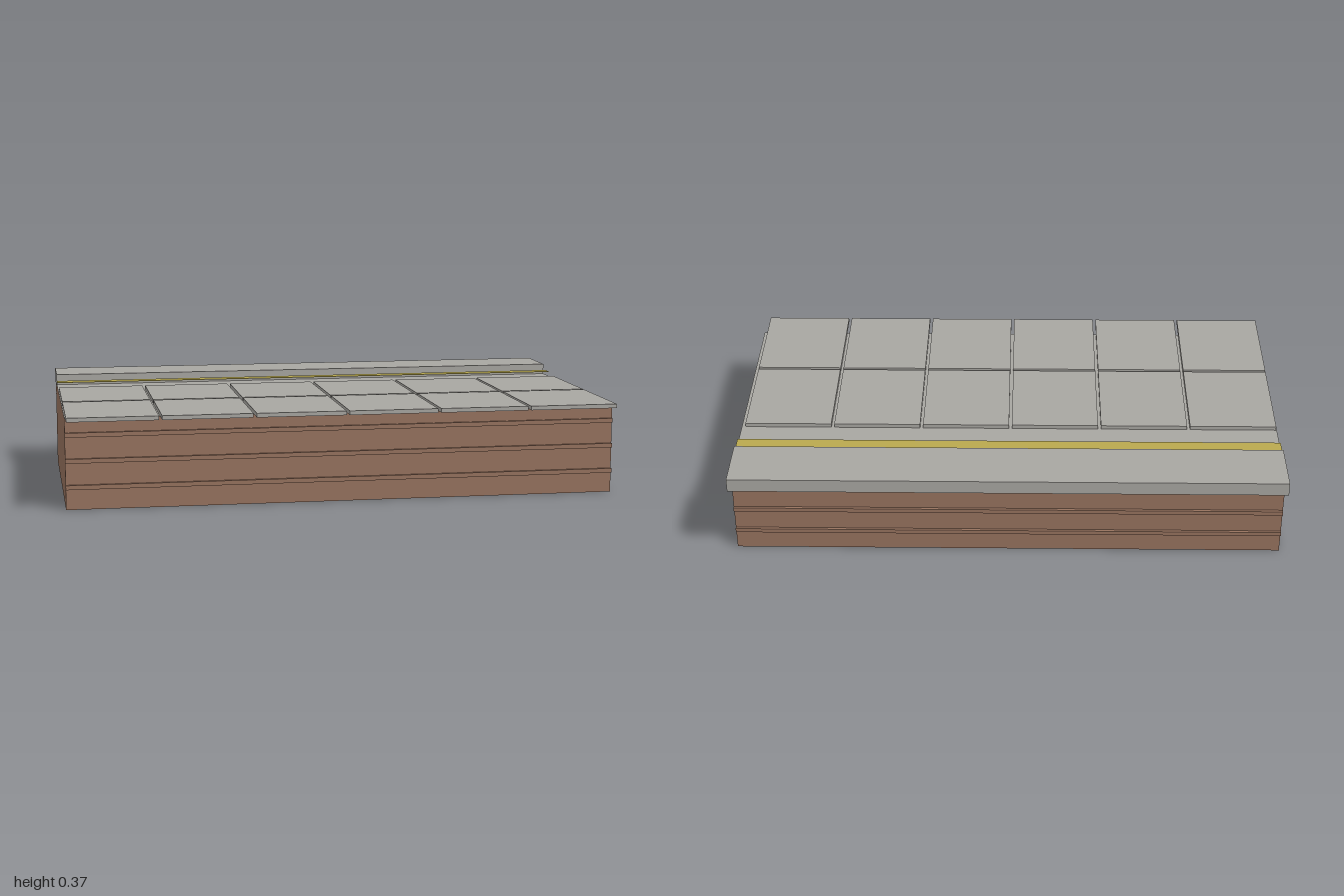
import * as THREE from 'three';

export function createModel() {
  const model = new THREE.Group();
  model.name = 'platform';

  const material = (name, color) => {
    const m = new THREE.MeshStandardMaterial({ color });
    m.name = name;
    return m;
  };
  const brick = material('brick brown', 0x96725e);
  const concrete = material('concrete grey', 0xa8a6a1);
  const paint = material('safety yellow', 0xb9a94e);

  // Box given by its lower and upper limits on each axis
  const box = (name, mat, [x0, x1], [y0, y1], [z0, z1]) => {
    const mesh = new THREE.Mesh(new THREE.BoxGeometry(x1 - x0, y1 - y0, z1 - z0), mat);
    mesh.position.set((x0 + x1) / 2, (y0 + y1) / 2, (z0 + z1) / 2);
    mesh.name = name;
    model.add(mesh);
    return mesh;
  };

  const full = [-1, 1];
  const deck = 0.327;

  // Brick body with a concrete top face
  box('body', [brick, brick, concrete, brick, brick, brick], full, [0, deck], [-0.5, 0.5]);

  // Brick courses along the front and back walls
  for (const y of [0.081, 0.175, 0.268]) {
    for (const side of [-1, 1]) {
      box('brickCourse', brick, full, [y - 0.008, y + 0.008],
        side > 0 ? [0.495, 0.51] : [-0.51, -0.495]);
    }
  }

  // Two rows of six paving slabs, the outer row overhanging the front
  const pitch = 1.994 / 6;
  for (const z of [0.0015, 0.4]) {
    for (let i = 0; i < 6; i++) {
      const x = -0.997 + i * pitch;
      box('pavingSlab', concrete, [x, x + 0.321], [deck, 0.342], [z - 0.193, z + 0.193]);
    }
  }

  // Raised coping overhanging the back
  box('coping', concrete, full, [0.317, 0.367], [-0.594, -0.381]);

  // Painted warning line
  box('warningLine', paint, full, [0.344, 0.346], [-0.351, -0.303]);

  return model;
}
